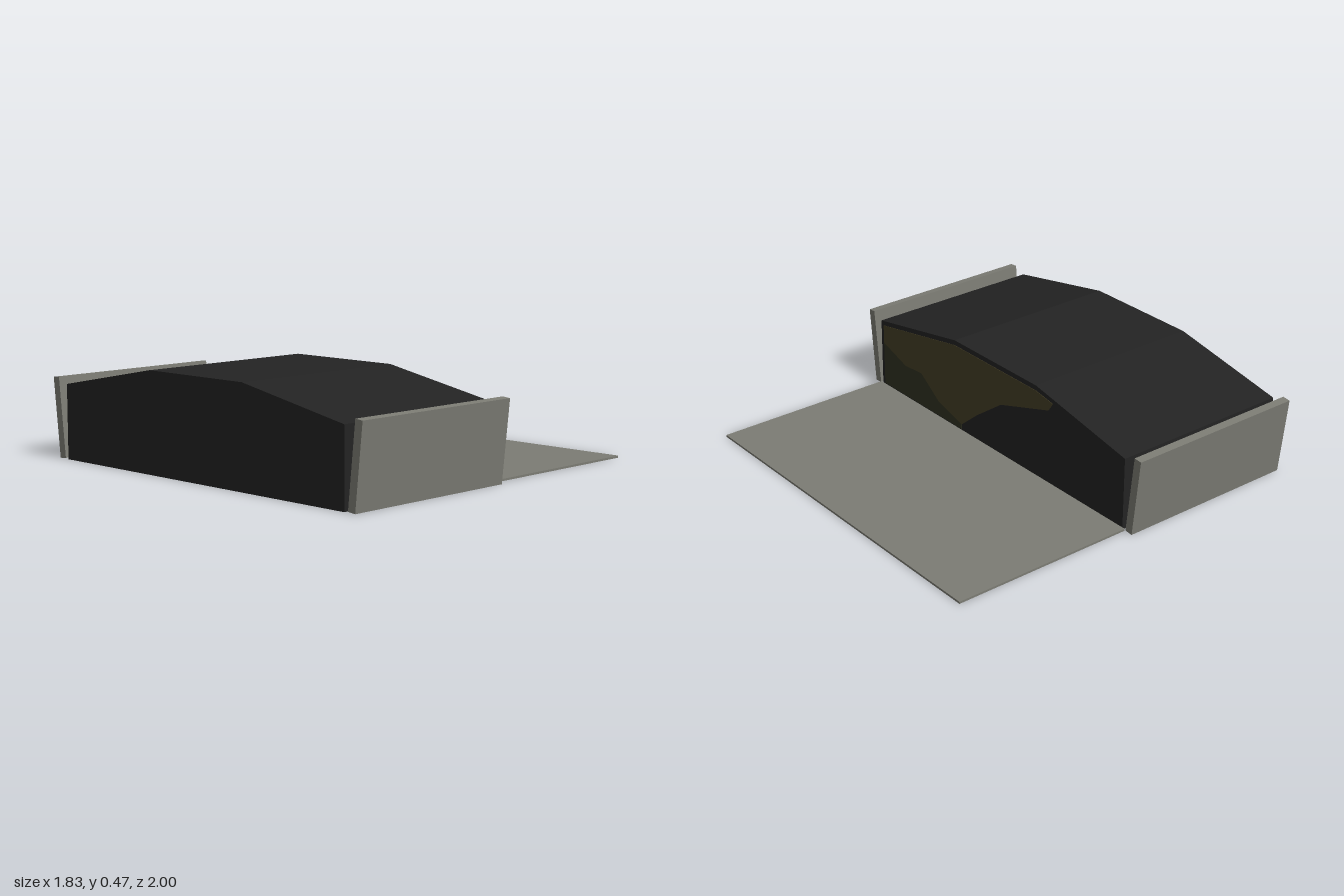
import * as THREE from 'three';

const mat = (name, color) => {
  const m = new THREE.MeshStandardMaterial({ color });
  m.name = name;
  return m;
};

export function createModel() {
  const grey = mat('warm grey', 0x7c7c74);
  const black = mat('near black', 0x232323);
  const olive = mat('dark olive', 0x453f26);
  const moss = mat('deep moss', 0x303222);
  const group = new THREE.Group();

  // Extrudes a (z, y) outline along x, from x0 to x0 + width
  const extrudeX = (name, outline, x0, width, material) => {
    const shape = new THREE.Shape(outline.map(([z, y]) => new THREE.Vector2(-z, y)));
    const geo = new THREE.ExtrudeGeometry(shape, { depth: width, bevelEnabled: false });
    geo.rotateY(Math.PI / 2);
    geo.translate(x0, 0, 0);
    const mesh = new THREE.Mesh(geo, material);
    mesh.name = name;
    group.add(mesh);
  };

  // Closed body with a faceted, arched roof
  extrudeX('body', [
    [0.9, 0], [0.9, 0.355], [0.3, 0.47], [-0.3, 0.47], [-0.9, 0.355], [-0.9, 0],
  ], -0.915, 0.915, black);

  // End panels leaning outwards
  for (const s of [1, -1]) {
    extrudeX(s > 0 ? 'frontPanel' : 'backPanel', [
      [s * 0.92, 0.004], [s * 0.96, 0], [s * 1.0, 0.38], [s * 0.96, 0.384],
    ], -0.915, 0.915, grey);
  }

  // Flat side apron lying on the ground
  const apron = new THREE.Mesh(new THREE.BoxGeometry(0.915, 0.01, 1.83), grey);
  apron.name = 'sideApron';
  apron.position.set(0.4575, 0.005, 0);
  group.add(apron);

  // Painted patch on the inner side wall
  extrudeX('wallPatchUpper', [
    [0.88, 0.335], [0.3, 0.445], [-0.3, 0.445], [-0.42, 0.425], [-0.39, 0.38],
    [-0.05, 0.27], [0.13, 0.14], [0.25, 0.04], [0.43, 0.09], [0.57, 0.19], [0.7, 0.18], [0.88, 0.24],
  ], 0, 0.002, olive);
  extrudeX('wallPatchLower', [
    [0.88, 0.24], [0.7, 0.18], [0.57, 0.19], [0.43, 0.09], [0.25, 0.04], [0.25, 0.015], [0.88, 0.015],
  ], 0, 0.002, moss);

  return group;
}
